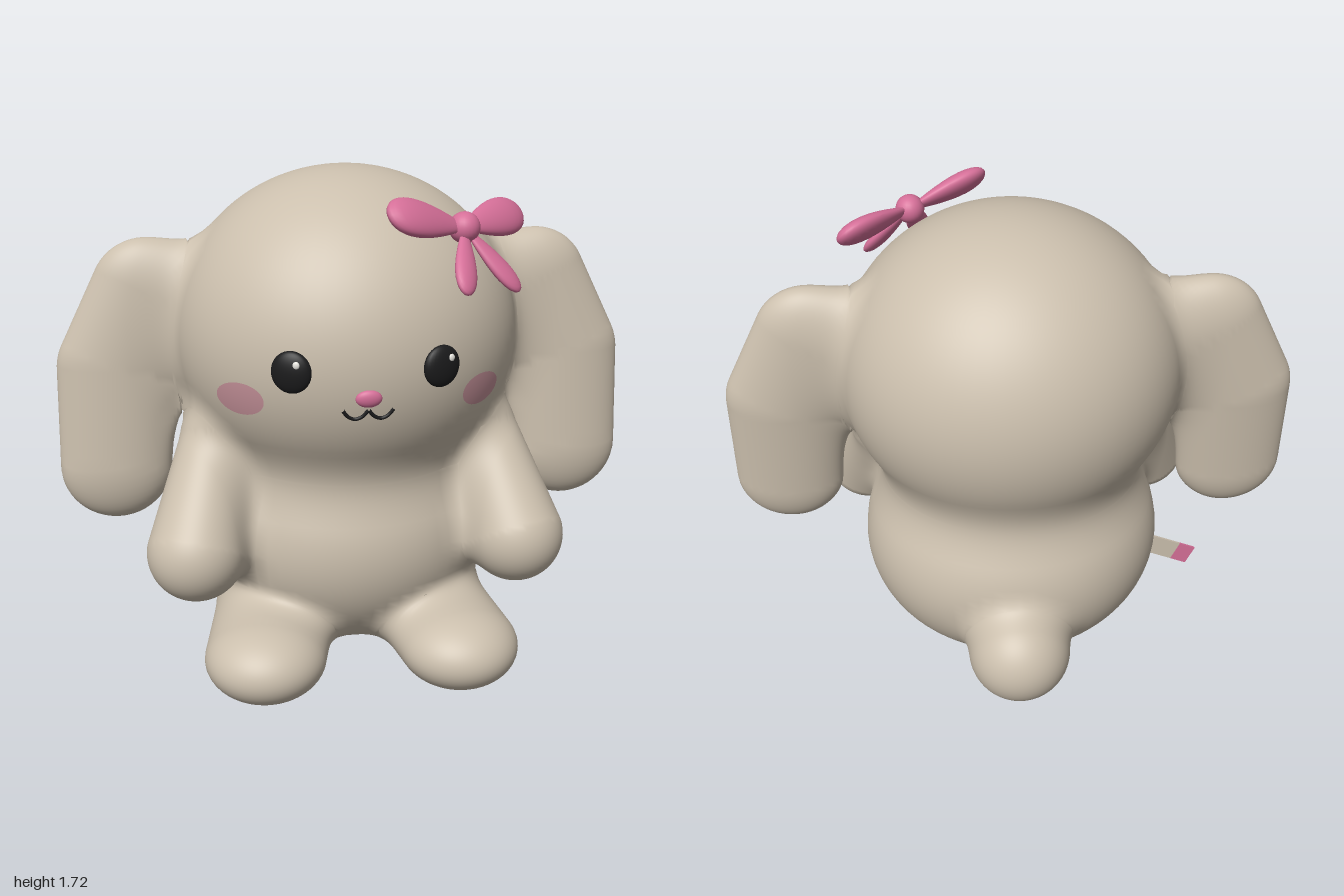
import * as THREE from 'three';

const paint = (name, color) => Object.assign(new THREE.MeshStandardMaterial({ color }), { name });

// ---- Soft shapes: distance rules that the fur parts are rounded and blended by ----
const ellipsoid = (c, r) => (x, y, z) => {
  const q = [(x - c[0]) / r[0], (y - c[1]) / r[1], (z - c[2]) / r[2]];
  const k0 = Math.hypot(...q);
  const k1 = Math.hypot(q[0] / r[0], q[1] / r[1], q[2] / r[2]);
  return k1 < 1e-6 ? -Math.min(...r) : (k0 * (k0 - 1)) / k1;
};

// Chain of balls [x, y, z, radius], mirrored in x, flattened by the squash factors
const limb = (balls, squash = [1, 1, 1]) => {
  const pts = balls.map((b) => [b[0] * squash[0], b[1] * squash[1], b[2] * squash[2], b[3]]);
  return (x, y, z) => {
    const p = [Math.abs(x) * squash[0], y * squash[1], z * squash[2]];
    let best = Infinity;
    for (let i = 0; i + 1 < pts.length; i++) {
      const a = pts[i], b = pts[i + 1];
      let dot = 0, len = 0;
      for (let j = 0; j < 3; j++) {
        dot += (p[j] - a[j]) * (b[j] - a[j]);
        len += (b[j] - a[j]) ** 2;
      }
      const h = THREE.MathUtils.clamp(dot / len, 0, 1);
      const off = [0, 1, 2].map((j) => p[j] - a[j] - h * (b[j] - a[j]));
      best = Math.min(best, Math.hypot(...off) - a[3] - h * (b[3] - a[3]));
    }
    return best;
  };
};

// centre and size seed the mesh; blend is the fillet width towards the parts before it
const PARTS = [
  { name: 'body', centre: [0, 0.46, -0.01], size: [0.54, 0.46, 0.5], blend: 0,
    sdf: ellipsoid([0, 0.46, -0.01], [0.54, 0.46, 0.5]) },
  { name: 'head', centre: [0, 1.16, 0.03], size: [0.59, 0.56, 0.555], blend: 0.17,
    sdf: ellipsoid([0, 1.16, 0.03], [0.59, 0.56, 0.555]) },
  { name: 'ear', pair: true, centre: [0.79, 1.0, 0.02], size: [0.2, 0.5, 0.1], blend: 0.16,
    sdf: limb([[0.67, 1.3, 0.01, 0.19], [0.79, 1.04, 0.02, 0.2], [0.81, 0.69, 0.045, 0.19]], [1, 1, 2.1]) },
  { name: 'arm', pair: true, centre: [0.53, 0.57, 0.33], size: [0.17, 0.25, 0.2], blend: 0.1,
    sdf: limb([[0.47, 0.82, 0.18, 0.115], [0.545, 0.5, 0.375, 0.165]]) },
  { name: 'leg', pair: true, centre: [0.31, 0.155, 0.4], size: [0.2, 0.14, 0.3], blend: 0.09,
    sdf: limb([[0.27, 0.17, 0.2, 0.215], [0.33, 0.15, 0.49, 0.205]], [1, 1.5, 1]) },
  { name: 'tail', centre: [0, 0.305, -0.52], size: [0.175, 0.175, 0.175], blend: 0.08,
    sdf: ellipsoid([0, 0.305, -0.52], [0.178, 0.178, 0.178]) },
];

// Smooth union of all parts, optionally leaving one out
function field(x, y, z, skip = null) {
  let f = Infinity;
  for (const part of PARTS) {
    if (part === skip) continue;
    const d = part.sdf(x, y, z);
    const h = part.blend ? Math.max(part.blend - Math.abs(f - d), 0) / part.blend : 0;
    f = Math.min(f, d) - (h * h * part.blend) / 4;
  }
  return f;
}

function gradient(p, e = 0.002) {
  return new THREE.Vector3(
    field(p.x + e, p.y, p.z) - field(p.x - e, p.y, p.z),
    field(p.x, p.y + e, p.z) - field(p.x, p.y - e, p.z),
    field(p.x, p.y, p.z + e) - field(p.x, p.y, p.z - e)
  ).divideScalar(2 * e);
}

// A sphere moved onto its part's shape, then eased into the fillets with its neighbours
function furGeometry(part, side) {
  const geo = new THREE.SphereGeometry(1, 72, 54);
  const pos = geo.attributes.position, nor = geo.attributes.normal;
  const c = new THREE.Vector3(...part.centre);
  c.x *= side;
  const p = new THREE.Vector3(), dir = new THREE.Vector3();
  for (let i = 0; i < pos.count; i++) {
    dir.fromBufferAttribute(pos, i).multiply(new THREE.Vector3(...part.size));
    let near = 0, far = 2.2;
    for (let n = 0; n < 24; n++) {
      const mid = (near + far) / 2;
      p.copy(c).addScaledVector(dir, mid);
      if (part.sdf(p.x, p.y, p.z) < 0) near = mid; else far = mid;
    }
    const others = field(p.x, p.y, p.z, part);
    if (others > -0.1) {
      const level = Math.min(0, others);
      for (let n = 0; n < 5; n++) {
        const g = gradient(p);
        const step = (level - field(p.x, p.y, p.z)) / Math.max(g.lengthSq(), 0.1);
        p.addScaledVector(g, THREE.MathUtils.clamp(step, -0.05, 0.05));
      }
    }
    pos.setXYZ(i, p.x, p.y, p.z);
    const g = gradient(p).normalize();
    nor.setXYZ(i, g.x, g.y, g.z);
  }
  return geo;
}

// Point and outward normal on the face at a given x, y
function onFace(x, y, lift = 0) {
  let near = 0, far = 0.8;
  for (let n = 0; n < 24; n++) {
    const mid = (near + far) / 2;
    if (field(x, y, mid) < 0) near = mid; else far = mid;
  }
  const point = new THREE.Vector3(x, y, near);
  const normal = gradient(point).normalize();
  return { point: point.addScaledVector(normal, lift), normal };
}

export function createModel() {
  const fur = paint('fur beige', 0xcbbfad);
  const pink = paint('ribbon pink', 0xd56f98);
  const blush = paint('blush', 0xc6929a);
  const black = paint('eye black', 0x1b1b1c);
  const white = paint('eye highlight', 0xe8e6e0);

  const model = new THREE.Group();
  model.name = 'plushBunny';
  const add = (name, geo, mat, parent = model) => {
    const mesh = new THREE.Mesh(geo, mat);
    mesh.name = name;
    parent.add(mesh);
    return mesh;
  };

  // Body, head, ears, arms, legs and tail
  for (const part of PARTS) {
    for (const side of part.pair ? [1, -1] : [1]) {
      const label = part.pair ? (side > 0 ? 'left ' : 'right ') + part.name : part.name;
      add(label, furGeometry(part, side), fur);
    }
  }

  // Small domes sitting on the face: eyes, highlights, nose
  const dome = (name, x, y, size, mat, lift = 0) => {
    const { point, normal } = onFace(x, y, lift);
    const mesh = add(name, new THREE.SphereGeometry(1, 28, 20), mat);
    mesh.scale.set(...size);
    mesh.position.copy(point);
    mesh.quaternion.setFromUnitVectors(new THREE.Vector3(0, 0, 1), normal);
  };
  for (const side of [1, -1]) {
    dome('eye', side * 0.235, 1.168, [0.065, 0.068, 0.026], black);
    dome('eye highlight', side * 0.235 + 0.02, 1.196, [0.011, 0.012, 0.006], white, 0.022);

    // Blush patch hugging the cheek
    const cheek = new THREE.RingGeometry(0, 1, 40, 5);
    const pos = cheek.attributes.position, nor = cheek.attributes.normal;
    for (let i = 0; i < pos.count; i++) {
      const x = side * 0.386 + pos.getX(i) * 0.07;
      const { point, normal } = onFace(x, 1.055 + pos.getY(i) * 0.056, 0.004);
      pos.setXYZ(i, point.x, point.y, point.z);
      nor.setXYZ(i, normal.x, normal.y, normal.z);
    }
    add('cheek', cheek, blush);

    // Half of the mouth
    const half = [[0, 1.047], [0.02, 1.024], [0.042, 1.016], [0.064, 1.026], [0.08, 1.047]];
    const curve = new THREE.CatmullRomCurve3(half.map(([x, y]) => onFace(side * x, y, 0.002).point));
    add('mouth', new THREE.TubeGeometry(curve, 24, 0.006, 8), black);
  }
  dome('nose', 0, 1.085, [0.042, 0.029, 0.018], pink);

  // Bow: tapered petals spreading from a knot, flat against the head
  const bow = new THREE.Group();
  bow.name = 'bow';
  model.add(bow);
  const knot = new THREE.Vector3(0.33, 1.57, 0.385);
  const out = new THREE.Vector3(0.33, 0.41, 0.35).normalize();
  const petal = (name, tip, width, depth) => {
    const along = new THREE.Vector3(...tip).sub(knot);
    const length = along.length();
    const geo = new THREE.SphereGeometry(1, 28, 20);
    const pos = geo.attributes.position;
    for (let i = 0; i < pos.count; i++) {
      const t = (pos.getX(i) + 1) / 2;
      const grow = 0.4 + 0.75 * t;
      pos.setXYZ(i, t * length, pos.getY(i) * width * grow, pos.getZ(i) * depth * grow);
    }
    const x = along.normalize();
    const y = out.clone().cross(x).normalize();
    geo.applyMatrix4(new THREE.Matrix4().makeBasis(x, y, x.clone().cross(y)).setPosition(knot));
    geo.computeVertexNormals();
    add(name, geo, pink, bow);
  };
  petal('bow loop', [0.065, 1.645, 0.505], 0.08, 0.042);
  petal('bow loop', [0.565, 1.575, 0.17], 0.08, 0.042);
  petal('bow tail', [0.3, 1.4, 0.57], 0.048, 0.026);
  petal('bow tail', [0.5, 1.375, 0.45], 0.048, 0.026);
  add('bow knot', new THREE.SphereGeometry(0.05, 24, 18), pink, bow).position.copy(knot);

  // Two-tone fabric tag sewn to the right hip
  const tag = new THREE.Group();
  tag.name = 'tag';
  tag.position.set(-0.5, 0.365, -0.05);
  tag.rotation.z = 0.4;
  add('tag base', new THREE.BoxGeometry(0.14, 0.08, 0.008), fur, tag).position.x = -0.07;
  add('tag end', new THREE.BoxGeometry(0.065, 0.08, 0.008), pink, tag).position.x = -0.172;
  model.add(tag);

  return model;
}
